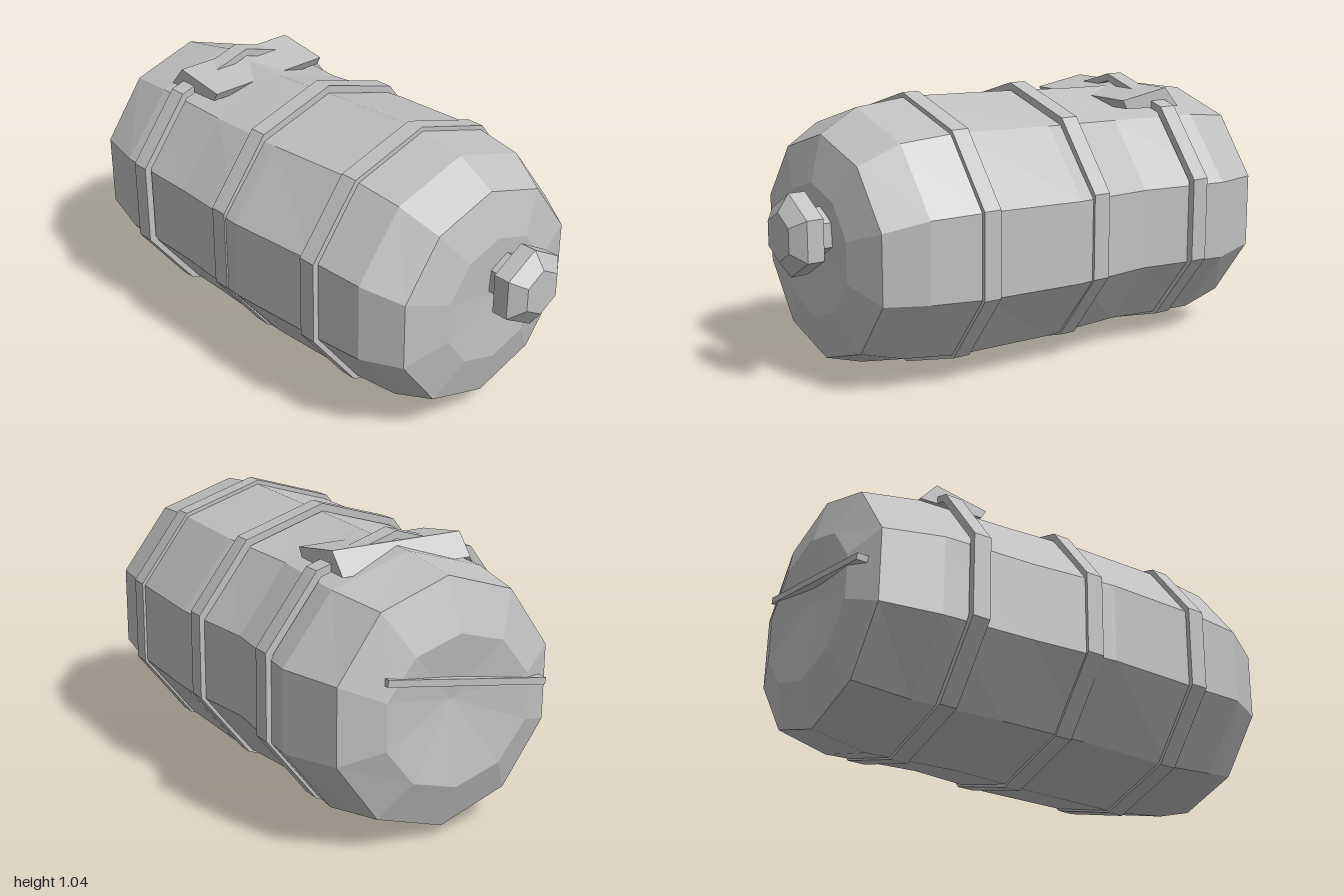
import * as THREE from 'three';

const grey = new THREE.MeshStandardMaterial({ color: 0xc0c0c0 });
grey.name = 'plain grey';

// Facet every face so the edges stay hard
function mesh(name, geometry) {
  const g = geometry.index ? geometry.toNonIndexed() : geometry;
  g.computeVertexNormals();
  const m = new THREE.Mesh(g, grey);
  m.name = name;
  return m;
}

// Skin between rings along x; each ring is [x, centreY, centreZ, radiusY, radiusZ]
function loft(rings, sides) {
  const pos = [];
  const point = ([x, cy, cz, ry, rz], j) => {
    const a = (j / sides) * Math.PI * 2;
    return [x, cy + ry * Math.cos(a), cz + rz * Math.sin(a)];
  };
  for (let i = 0; i < rings.length - 1; i++) {
    for (let j = 0; j < sides; j++) {
      const a = point(rings[i], j), b = point(rings[i], j + 1);
      const c = point(rings[i + 1], j), d = point(rings[i + 1], j + 1);
      if (rings[i][3] > 0) pos.push(...a, ...b, ...d);
      if (rings[i + 1][3] > 0) pos.push(...a, ...d, ...c);
      else if (rings[i][3] > 0) pos.splice(pos.length - 9, 9, ...a, ...b, ...c);
    }
  }
  const g = new THREE.BufferGeometry();
  g.setAttribute('position', new THREE.Float32BufferAttribute(pos, 3));
  return g;
}

export function createModel() {
  const group = new THREE.Group();
  group.name = 'barrel';

  // Ten-sided barrel with slightly uneven rings and domed ends
  group.add(mesh('barrelBody', loft([
    [-0.955, 0.53, 0, 0, 0],
    [-0.99, 0.49, 0.01, 0.28, 0.31],
    [-0.93, 0.502, -0.005, 0.458, 0.46],
    [-0.71, 0.502, -0.015, 0.493, 0.53],
    [-0.34, 0.507, 0.01, 0.493, 0.515],
    [0.01, 0.513, 0, 0.503, 0.555],
    [0.42, 0.52, -0.005, 0.51, 0.54],
    [0.64, 0.52, 0.005, 0.485, 0.515],
    [0.79, 0.5, 0.005, 0.42, 0.435],
    [0.835, 0.5, 0, 0.25, 0.255],
    [0.82, 0.52, 0, 0, 0],
  ], 10)));

  // Three hoops, each a closed band with a little thickness
  for (const x of [-0.58, -0.085, 0.41]) {
    const ring = (dx, t) => [x + dx, 0.5225, 0, 0.5225 - t, 0.557 - t];
    const w = 0.035, t = 0.03;
    group.add(mesh('hoop', loft([ring(-w, t), ring(-w, 0), ring(w, 0), ring(w, t), ring(-w, t)], 10)));
  }

  // Hexagonal spigot: narrow neck and a chamfered head
  const hex = (x, r) => [x, 0.58, -0.053, r, r];
  group.add(mesh('spigotNeck', loft([hex(0.8, 0.09), hex(0.9, 0.09)], 6)));
  group.add(mesh('spigotHead', loft([
    hex(0.89, 0), hex(0.89, 0.153), hex(0.955, 0.153), hex(1, 0.09), hex(1, 0),
  ], 6)));

  // Tilted plate across the top, its middle sunk in the barrel
  const profile = new THREE.Shape([
    new THREE.Vector2(-0.69, 0.93), new THREE.Vector2(-0.42, 0.94),
    new THREE.Vector2(-0.4, 0.975), new THREE.Vector2(-0.62, 1.01),
  ]);
  const plate = new THREE.ExtrudeGeometry(profile, { depth: 0.54, bevelEnabled: false });
  plate.translate(0, 0, -0.27);
  group.add(mesh('topPlate', plate));

  // Slim slanted bar on the closed end
  const bar = mesh('endBar', new THREE.BoxGeometry(0.06, 0.025, 0.68));
  bar.position.set(-0.965, 0.59, 0.05);
  bar.rotation.x = 0.17;
  group.add(bar);

  return group;
}
